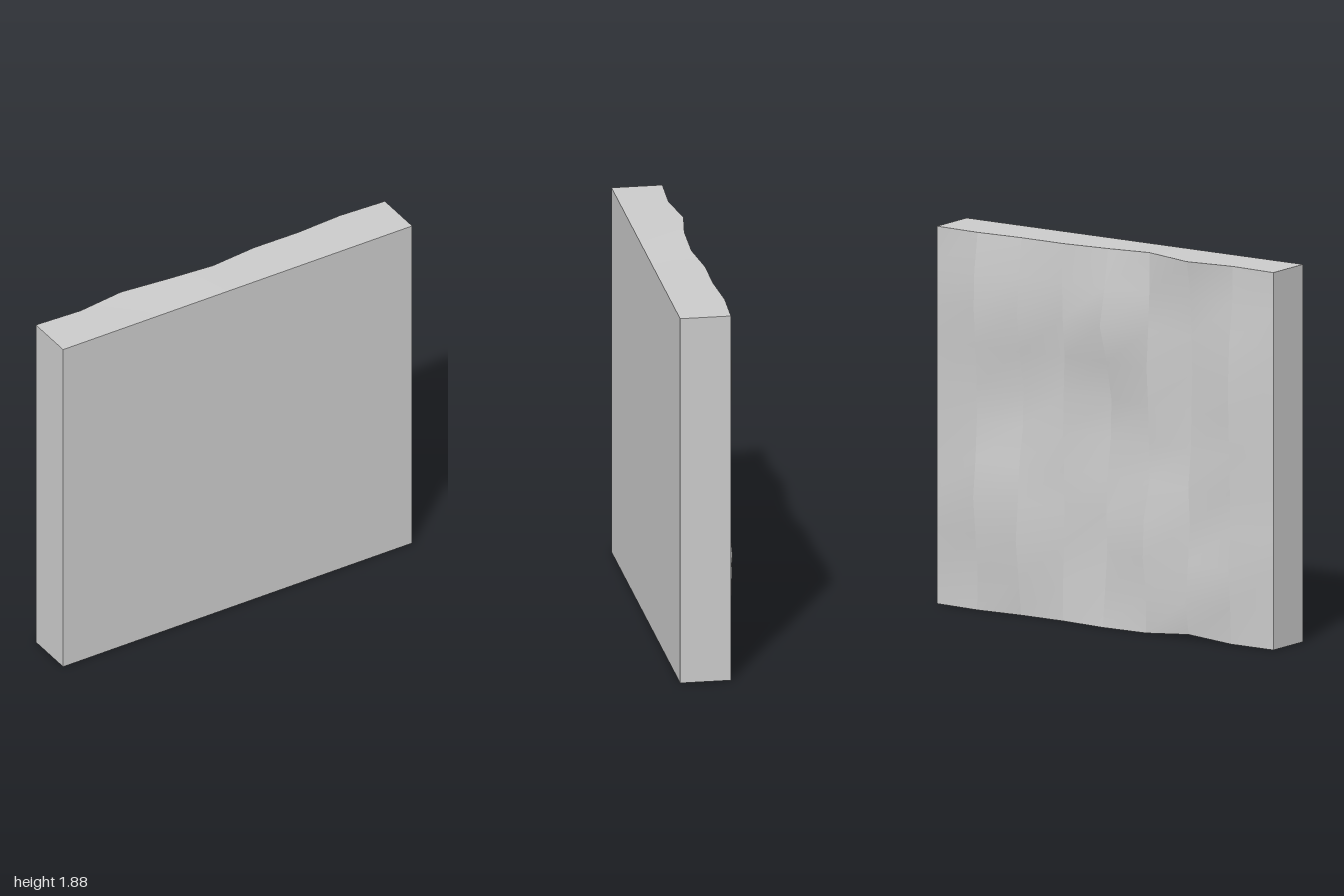
import * as THREE from 'three';

const H = 1.87, FRONT = 0.15, ROWS = 10;

// Depth of the rough back behind z = 0, in thousandths.
// One line per column from x = -1 to 1, each listed from bottom to top.
const RELIEF = [
  Array(11).fill(100),
  [100, 110, 125, 112, 112, 118, 125, 127, 118, 92, 88],
  [105, 132, 110, 95, 108, 85, 82, 74, 80, 88, 120],
  [112, 108, 138, 130, 82, 86, 92, 106, 92, 82, 82],
  [120, 100, 82, 90, 80, 50, 48, 88, 146, 105, 75],
  [100, 100, 92, 90, 92, 100, 96, 88, 104, 109, 100],
  [100, 122, 145, 128, 115, 84, 80, 112, 135, 118, 97],
  [116, 112, 130, 150, 130, 119, 120, 130, 146, 140, 112],
  Array(11).fill(100),
];

// Smooth strip between two rows of points; faces outward when b is to the right of a
// as seen from outside, with both rows running upward.
function strip(a, b) {
  const pos = [], index = [];
  a.forEach((p, i) => {
    pos.push(...p, ...b[i]);
    if (i) {
      const k = 2 * i;
      index.push(k - 2, k - 1, k + 1, k - 2, k + 1, k);
    }
  });
  const g = new THREE.BufferGeometry();
  g.setAttribute('position', new THREE.Float32BufferAttribute(pos, 3));
  g.setIndex(index);
  g.computeVertexNormals();
  return g;
}

export function createModel() {
  const model = new THREE.Group();
  const material = new THREE.MeshStandardMaterial({ color: 0xcccccc });
  const add = (name, geometry, parent = model) => {
    const mesh = new THREE.Mesh(geometry, material);
    mesh.name = name;
    parent.add(mesh);
  };

  // Grid of points on the rough back, columns[c][r]
  const columns = RELIEF.map((depths, c) =>
    depths.map((d, r) => [-1 + c / 4, (H * r) / ROWS, -d / 1000]));
  columns[3][ROWS][1] += 0.01;
  columns[2][0][1] += 0.02;

  // Rough back: vertical strips, smooth upward and creased between strips
  const back = new THREE.Group();
  back.name = 'roughBack';
  model.add(back);
  for (let c = 0; c < 8; c++) add('backStrip', strip(columns[c + 1], columns[c]), back);

  // Flat front and the two ends
  const edge = (x, z) => [[x, 0, z], [x, H, z]];
  add('frontFace', strip(edge(-1, FRONT), edge(1, FRONT)));
  add('leftEnd', strip(edge(1, FRONT), edge(1, -0.1)));
  add('rightEnd', strip(edge(-1, -0.1), edge(-1, FRONT)));

  // Top and bottom follow the wavy back edge
  const backEdge = (r) => columns.map((col) => col[r]);
  const frontEdge = (y) => columns.map((col) => [col[0][0], y, FRONT]);
  add('topFace', strip(backEdge(ROWS), frontEdge(H)).toNonIndexed());
  add('bottomFace', strip(frontEdge(0), backEdge(0)).toNonIndexed());
  return model;
}
